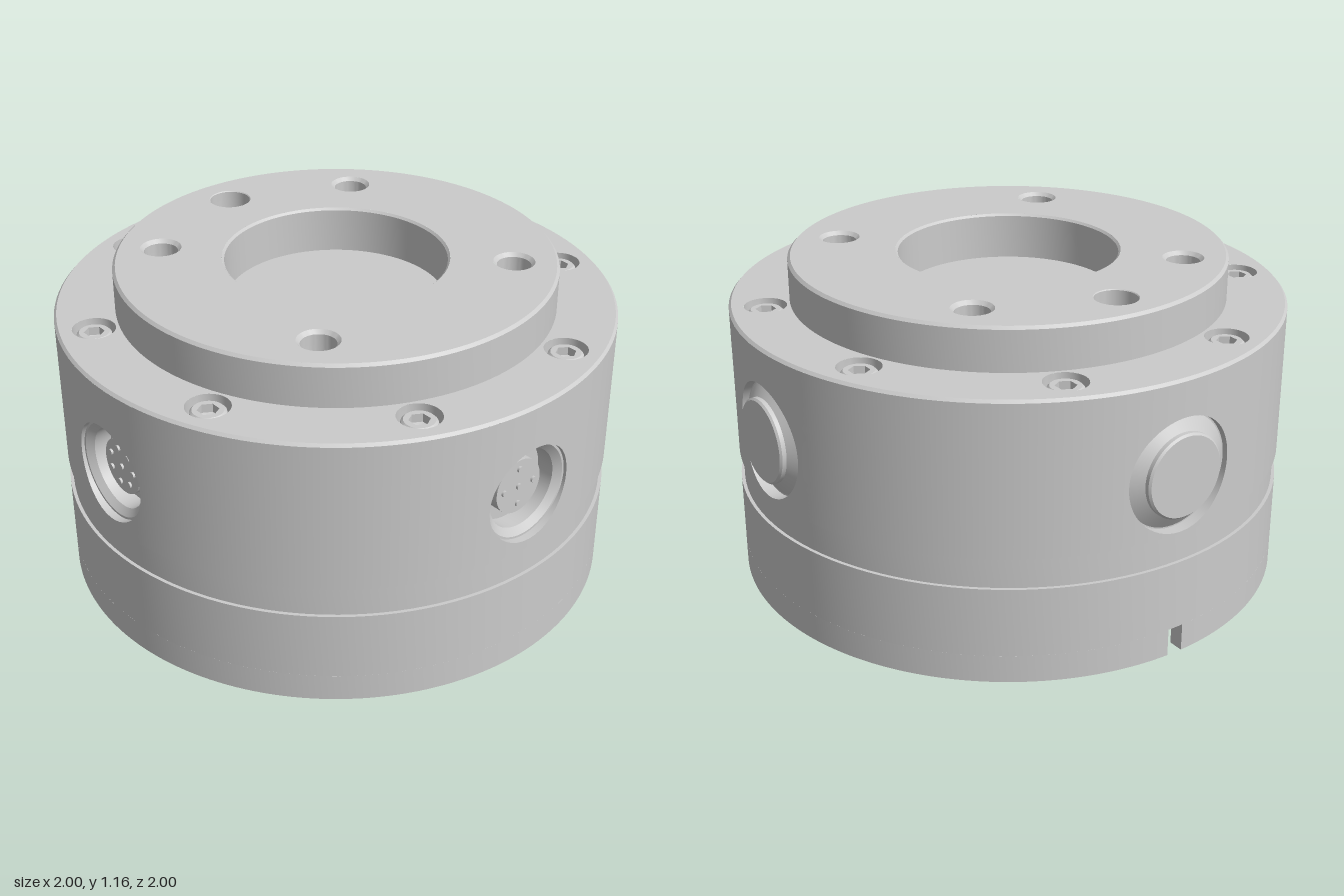
import * as THREE from 'three';
import { toCreasedNormals } from 'three/addons/utils/BufferGeometryUtils.js';
import { ParametricGeometry } from 'three/addons/geometries/ParametricGeometry.js';

const material = new THREE.MeshStandardMaterial({ color: 0xcccccc });
const TAU = Math.PI * 2;
const R = 0.993;          // body radius
const PORT_Y = 0.67;      // height of the side ports

function add(parent, name, geometry, x = 0, y = 0, z = 0) {
  const mesh = new THREE.Mesh(geometry, material);
  mesh.name = name;
  mesh.position.set(x, y, z);
  parent.add(mesh);
  return mesh;
}

// Turned part with sharp edges; a profile running upward faces outward
function turned(points, segments = 48) {
  const profile = points.map(([r, y]) => new THREE.Vector2(r, y));
  return toCreasedNormals(new THREE.LatheGeometry(profile, segments), 0.5);
}

const circle = (x, y, r) => new THREE.Path().absarc(x, y, r, 0, TAU, true);

// Horizontal disc facing up, with holes
function plate(radius, holes, segments = 96) {
  const shape = new THREE.Shape().absarc(0, 0, radius, 0, TAU, false);
  shape.holes.push(...holes);
  return new THREE.ShapeGeometry(shape, segments).rotateX(-Math.PI / 2);
}

// Walk round the edge of a quarter of the wall: [angle, height from port centre]
const A = Math.PI / 4;
const corners = [[A, 0.46 - PORT_Y], [A, 1 - PORT_Y], [-A, 1 - PORT_Y], [-A, 0.46 - PORT_Y]];
function edgePoint(u) {
  const t = Math.min(Math.max(u, 0), 1) * 4;
  const k = Math.min(Math.floor(t), 3), f = t - k;
  const p = corners[k], q = corners[(k + 1) % 4];
  const a = p[0] + (q[0] - p[0]) * f, h = p[1] + (q[1] - p[1]) * f;
  const length = Math.hypot(R * a, h);
  return { a, h, c: R * a / length, s: h / length };
}

// Quarter of the curved wall, pierced by a round hole
function wallQuarter(r) {
  return new ParametricGeometry((u, v, target) => {
    const e = edgePoint(u);
    const a = e.a + (Math.asin(r * e.c / R) - e.a) * v;
    target.set(R * Math.sin(a), e.h + (r * e.s - e.h) * v, R * Math.cos(a));
  }, 192, 10);
}

// Side of the hole, from the curved wall to a flat depth
function holeSide(r, depth) {
  return new ParametricGeometry((u, v, target) => {
    const { c, s } = edgePoint(u);
    const z = Math.sqrt(R * R - r * r * c * c);
    target.set(r * c, r * s, z + (depth - z) * v);
  }, 192, 1);
}

function addPort(parent, turn, radius, depth) {
  const port = new THREE.Group();
  port.position.y = PORT_Y;
  port.rotation.y = turn;
  parent.add(port);
  add(port, 'wallQuarter', wallQuarter(radius));
  add(port, 'portRecess', holeSide(radius, depth));
  return port;
}

function addButton(parent, turn) {
  const port = addPort(parent, turn, 0.205, 0.95);
  port.name = 'buttonPort';
  add(port, 'button', turned([[0.206, 0.95], [0.2, 0.95], [0.15, 0.985], [0.15, 1.0],
    [0.143, 1.007], [0, 1.007]], 64).rotateX(Math.PI / 2));
}

function addConnector(parent, turn, pinCount) {
  const port = addPort(parent, turn, 0.178, 0.965);
  port.name = 'connectorPort';
  add(port, 'connectorSocket', turned([[0.179, 0.965], [0.17, 0.965], [0.145, 0.945], [0.145, 0.88],
    [0.1, 0.88], [0.1, 0.93], [0, 0.93]], 64).rotateX(Math.PI / 2));
  const pin = new THREE.CylinderGeometry(0.011, 0.011, 0.016, 16).rotateX(Math.PI / 2);
  add(port, 'pin', pin, 0, 0, 0.93);
  for (let i = 0; i < pinCount; i++) {
    const a = i / pinCount * TAU;
    add(port, 'pin', pin, 0.067 * Math.cos(a), 0.067 * Math.sin(a), 0.93);
  }
}

export function createModel() {
  const model = new THREE.Group();
  model.name = 'sensorHousing';
  const body = new THREE.Group();
  body.name = 'body';
  body.position.set(-0.007, 0, 0.007);
  model.add(body);

  // Bottom rim with a notch at the back
  const gap = 0.03, start = Math.PI / 2 + gap, end = Math.PI / 2 - gap + TAU;
  const rim = new THREE.Shape();
  rim.absarc(0, 0, R, start, end, false);
  rim.absarc(0, 0, 0.94, end, start, true);
  add(body, 'bottomRim', toCreasedNormals(new THREE.ExtrudeGeometry(rim,
    { depth: 0.1, bevelEnabled: false, curveSegments: 128 }).rotateX(-Math.PI / 2), 0.5));

  // Base with recessed underside and the shallow groove above it
  add(body, 'base', turned([[0, 0.1], [R, 0.1], [R, 0.35], [0.981, 0.35], [0.981, 0.46], [R, 0.46]], 128));

  // Pierced upper wall: connectors at front and right, buttons at left and back
  addConnector(body, 0, 4);
  addConnector(body, -Math.PI / 2, 7);
  addButton(body, Math.PI / 2);
  addButton(body, Math.PI);
  add(body, 'shoulderChamfer', turned([[R, 1.0], [0.983, 1.01]], 128));

  // Shoulder with eight sunk socket screws
  const screwProfile = turned([[0.075, 0], [0.075, -0.05], [0.06, -0.05], [0.06, -0.02], [0.052, -0.012]]);
  const hexagon = new THREE.Path();
  hexagon.setFromPoints(Array.from({ length: 7 }, (_, k) =>
    new THREE.Vector2(0.036 * Math.sin(k * TAU / 6), 0.036 * Math.cos(k * TAU / 6))));
  const screwFace = plate(0.052, [hexagon], 48);
  const socket = turned([[0.036, 0], [0.036, -0.03], [0, -0.04]], 6);
  const screwHoles = [circle(0, 0, 0.76)];
  for (let i = 0; i < 8; i++) {
    const a = (i + 0.5) * TAU / 8, x = 0.866 * Math.cos(a), z = 0.866 * Math.sin(a);
    screwHoles.push(circle(x, -z, 0.075));
    const screw = new THREE.Group();
    screw.name = 'screw';
    screw.position.set(x, 1.01, z);
    body.add(screw);
    add(screw, 'screwHead', screwProfile);
    add(screw, 'screwFace', screwFace, 0, -0.012);
    add(screw, 'hexSocket', socket, 0, -0.012);
  }
  add(body, 'shoulder', plate(0.984, screwHoles), 0, 1.01);

  // Raised flange with central bore and five blind holes
  add(body, 'flangeSide', turned([[0.78, 1.01], [0.78, 1.155], [0.77, 1.165]], 128));
  add(body, 'bore', turned([[0.4, 1.165], [0.392, 1.157], [0.392, 0.995], [0, 0.995]], 96));
  const flangeHoles = [circle(0, 0, 0.4)];
  const threaded = turned([[0.073, 0], [0.06, -0.013], [0.06, -0.12], [0, -0.15]]);
  const dowel = turned([[0.077, 0], [0.074, -0.003], [0.074, -0.11], [0, -0.15]]);
  const addHole = (name, geometry, r, x, z) => {
    flangeHoles.push(circle(x, -z, r));
    add(body, name, geometry, x, 1.165, z);
  };
  for (const x of [-0.44, 0.44]) {
    for (const z of [-0.44, 0.44]) addHole('mountingHole', threaded, 0.073, x, z);
  }
  addHole('dowelHole', dowel, 0.077, 0, -0.623);
  add(body, 'flangeTop', plate(0.77, flangeHoles), 0, 1.165);

  return model;
}
